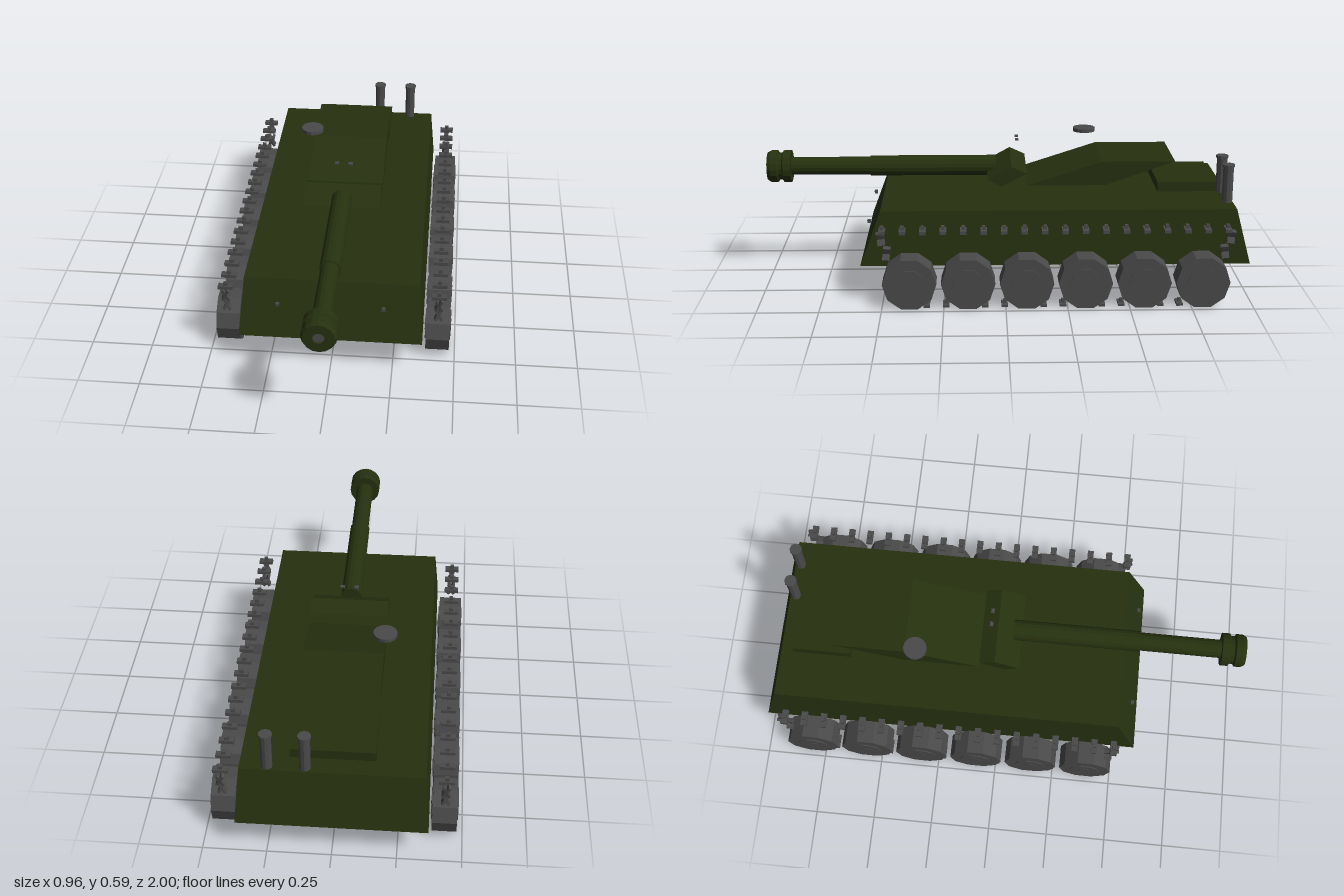
import * as THREE from 'three';

const mat = (name, color) => {
  const m = new THREE.MeshStandardMaterial({ color });
  m.name = name;
  m.flatShading = true;
  return m;
};

// Six-sided block: corners given as [z, y]; half widths at top and bottom
function block(frontTop, backTop, frontBottom, backBottom, halfTop, halfBottom = halfTop) {
  const geo = new THREE.BoxGeometry(2, 2, 2);
  const p = geo.attributes.position;
  for (let i = 0; i < p.count; i++) {
    const top = p.getY(i) > 0, front = p.getZ(i) > 0;
    const [z, y] = top ? (front ? frontTop : backTop) : (front ? frontBottom : backBottom);
    p.setXYZ(i, Math.sign(p.getX(i)) * (top ? halfTop : halfBottom), y, z);
  }
  geo.computeVertexNormals();
  return geo;
}

export function createModel() {
  const model = new THREE.Group();
  model.name = 'tank';
  const green = mat('olive paint', 0x26310f);
  const grey = mat('dark steel', 0x4a4a4a);

  const add = (parent, name, geo, material, x = 0, y = 0, z = 0) => {
    const m = new THREE.Mesh(geo, material);
    m.name = name;
    m.position.set(x, y, z);
    parent.add(m);
    return m;
  };
  const box = (w, h, d) => new THREE.BoxGeometry(w, h, d);

  // Hull and upper armour
  add(model, 'hull', block([0.505, 0.375], [-0.94, 0.375], [0.59, 0.148], [-1, 0.148], 0.35, 0.368), green);
  add(model, 'turret', block([-0.405, 0.525], [-0.71, 0.525], [-0.094, 0.424], [-0.42, 0.424], 0.162), green);
  add(model, 'gunShield', block([0.07, 0.45], [-0.03, 0.505], [0.01, 0.42], [-0.095, 0.475], 0.162), green);
  add(model, 'engineCover', box(0.324, 0.04, 0.245), green, 0, 0.415, -0.762);
  add(model, 'enginePlate', box(0.21, 0.004, 0.16), grey, 0, 0.389, -0.745);

  // Gun: a stepped barrel with a ringed muzzle, turned about z
  const profile = [
    [0, 0.035], [0.043, 0.035], [0.043, 0.565], [0.038, 0.565], [0.038, 0.9],
    [0.068, 0.9], [0.068, 0.932], [0.058, 0.938], [0.058, 0.952],
    [0.068, 0.958], [0.068, 0.985], [0.06, 1], [0.023, 1], [0.023, 0.992],
  ].map(([r, z]) => new THREE.Vector2(r, z));
  const gun = add(model, 'gunBarrel', new THREE.LatheGeometry(profile, 16), green, 0, 0.47, 0);
  gun.rotation.x = Math.PI / 2;
  const bore = add(model, 'bore', new THREE.CircleGeometry(0.023, 16), grey, 0, 0.47, 0.9925);
  bore.material = grey;

  // Hatch, sights, exhausts and lamps
  add(model, 'hatch', new THREE.CylinderGeometry(0.048, 0.048, 0.015, 14), grey, -0.164, 0.585, -0.355);
  for (const s of [-1, 1]) {
    add(model, 'sight', box(0.018, 0.007, 0.014), grey, s * 0.029, 0.589, -0.055);
    add(model, 'headlamp', box(0.014, 0.013, 0.014), grey, s * 0.211, 0.29, 0.562);
  }
  for (const x of [0.102, 0.246]) {
    add(model, 'exhaustPipe', new THREE.CylinderGeometry(0.022, 0.022, 0.155, 10), grey, x, 0.4475, -0.917);
    add(model, 'exhaustCap', new THREE.CylinderGeometry(0.026, 0.026, 0.01, 10), grey, x, 0.53, -0.917);
  }

  // Decagon wheels with flat top and bottom, lying along x
  const across = (r, w, n) => new THREE.CylinderGeometry(r, r, w, n).rotateZ(Math.PI / 2);
  const tyre = new THREE.CylinderGeometry(0.109, 0.109, 0.096, 10).rotateZ(Math.PI / 2);
  const hub = across(0.064, 0.104, 10);
  const nave = across(0.026, 0.107, 10);
  const plate = box(0.06, 0.014, 0.026);
  const tooth = box(0.016, 0.034, 0.014);
  const crossBar = box(0.011, 0.058, 0.03);

  for (const s of [-1, 1]) {
    const run = new THREE.Group();
    run.name = s > 0 ? 'leftRunningGear' : 'rightRunningGear';
    model.add(run);
    const x = s * 0.428;
    for (let i = 0; i < 6; i++) {
      const z = 0.388 - i * 0.2364;
      add(run, 'wheel', tyre, grey, x, 0.1045, z);
      add(run, 'wheelHub', hub, grey, x, 0.1045, z);
      add(run, 'wheelNave', nave, grey, x, 0.1045, z);
    }
    // Upper track links, evenly spaced
    for (let i = 0; i < 18; i++) {
      const z = 0.495 - i * 0.0815;
      add(run, 'upperLink', plate, grey, x, 0.316, z);
      add(run, 'upperLinkTooth', tooth, grey, x, 0.321, z);
    }
    // Lower track links
    for (let i = 0; i < 14; i++) {
      const z = 0.32 - i * 0.0788;
      add(run, 'lowerLink', box(0.06, 0.01, 0.026), grey, x, 0.005, z);
      add(run, 'lowerLinkTooth', box(0.016, 0.02, 0.012), grey, x, 0.014, z);
    }
    // Crossed links at each end of the track
    for (const [y, z, tilt] of [[0.285, 0.5, 0.15], [0.223, 0.478, -0.1], [0.285, -0.905, -0.15], [0.223, -0.882, 0.1]]) {
      for (const t of [-1, 1]) {
        const bar = add(run, 'endLink', crossBar, grey, x, y, z);
        bar.rotation.set(tilt, 0, t * 0.45);
      }
    }
  }
  return model;
}
